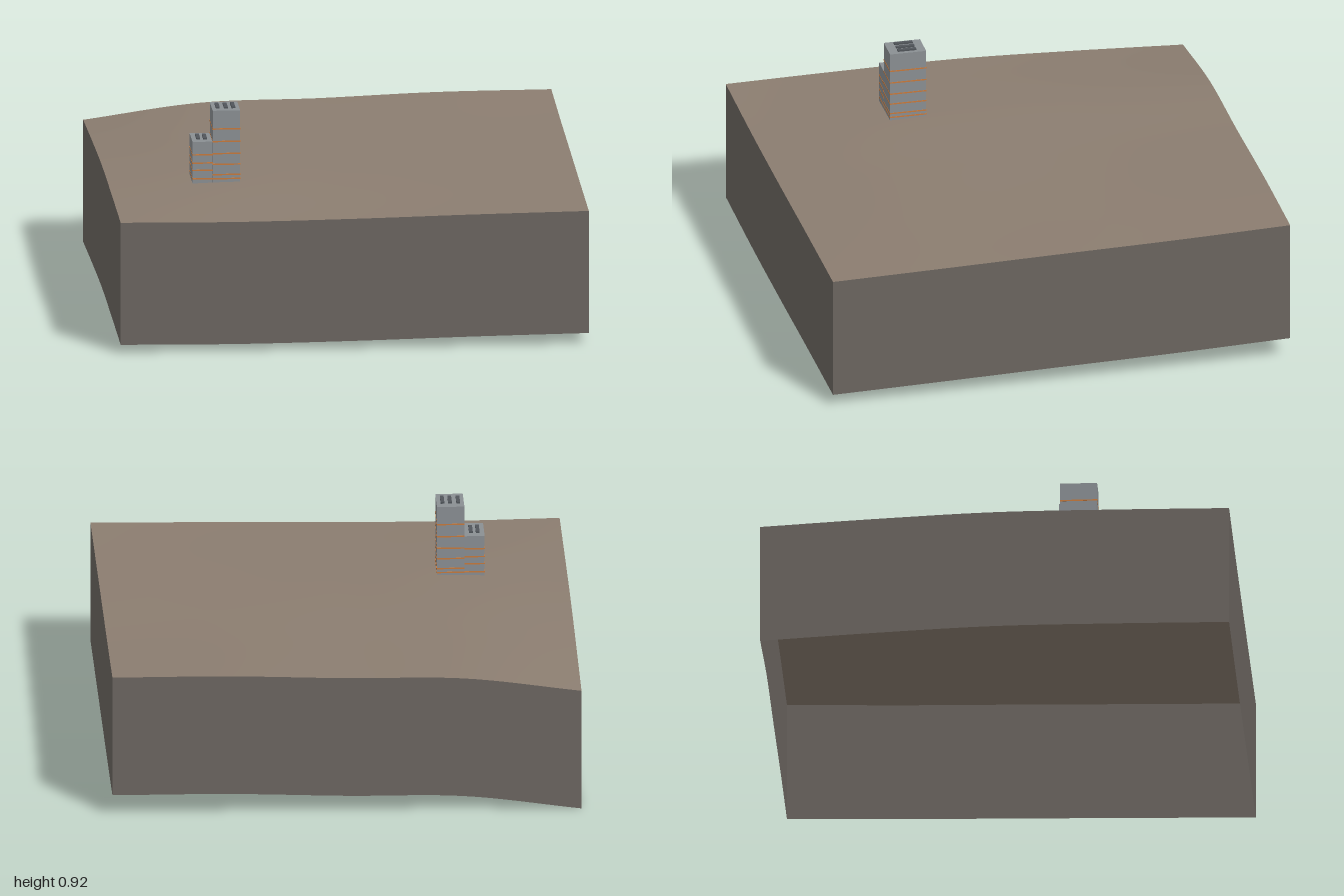
import * as THREE from 'three';

// Ground heights on a 5 x 5 control grid: rows run back to front, columns run -x to +x
const HEIGHTS = [
  [0.535, 0.600, 0.610, 0.627, 0.630],
  [0.560, 0.600, 0.605, 0.612, 0.615],
  [0.578, 0.603, 0.603, 0.602, 0.605],
  [0.577, 0.594, 0.592, 0.592, 0.594],
  [0.571, 0.565, 0.569, 0.578, 0.584],
];
const DEPTH = 0.535;
const SEGMENTS = 40;

// Smooth interpolation through five evenly spaced values, t from -1 to 1
function spline(v, t) {
  const s = THREE.MathUtils.clamp((t + 1) * 2, 0, 4);
  const i = Math.min(3, Math.floor(s));
  const f = s - i;
  const a = i > 0 ? v[i - 1] : 2 * v[0] - v[1];
  const b = v[i];
  const c = v[i + 1];
  const d = i < 3 ? v[i + 2] : 2 * v[4] - v[3];
  return b + 0.5 * f * (c - a + f * (2 * a - 5 * b + 4 * c - d + f * (3 * (b - c) + d - a)));
}

const groundHeight = (x, z) => spline(HEIGHTS.map((row) => spline(row, x)), z);

export function createModel() {
  const model = new THREE.Group();
  model.name = 'terrainBlockWithTower';

  const material = (name, color, side = THREE.FrontSide) => {
    const m = new THREE.MeshStandardMaterial({ color, side });
    m.name = name;
    return m;
  };
  const earth = material('earthBrown', 0x8b7d70, THREE.DoubleSide);
  const soil = material('soilGrey', 0x6b6560, THREE.DoubleSide);
  const concrete = material('concreteGrey', 0x8a8f93);
  const orange = material('floorBandOrange', 0xc87a3c);
  const dark = material('roofUnitGrey', 0x50555a);

  const add = (parent, name, geometry, mat) => {
    const mesh = new THREE.Mesh(geometry, mat);
    mesh.name = name;
    parent.add(mesh);
    return mesh;
  };
  const addBox = (parent, name, size, pos, mat) =>
    add(parent, name, new THREE.BoxGeometry(...size), mat).position.set(...pos);

  // Gently rolling ground surface
  const ground = new THREE.PlaneGeometry(2, 2, SEGMENTS, SEGMENTS).rotateX(-Math.PI / 2);
  const gp = ground.attributes.position;
  for (let i = 0; i < gp.count; i++) gp.setY(i, groundHeight(gp.getX(i), gp.getZ(i)));
  ground.computeVertexNormals();
  add(model, 'groundSurface', ground, earth);

  // Four skirt walls of constant depth that follow the ground edge, open below
  ['front', 'left', 'back', 'right'].forEach((side, k) => {
    const wall = new THREE.PlaneGeometry(2, 2, SEGMENTS, 1);
    wall.translate(0, 0, 1).rotateY(k * Math.PI / 2);
    const p = wall.attributes.position;
    for (let i = 0; i < p.count; i++) {
      p.setY(i, groundHeight(p.getX(i), p.getZ(i)) - (p.getY(i) < 0 ? DEPTH : 0));
    }
    add(model, side + 'SkirtWall', wall, soil);
  });

  // Stepped building: one tall and one short block with floor bands and roof units
  const base = 0.592;
  const z = 0.333;
  const blocks = [
    { name: 'tallBlock', x: -0.501, w: 0.117, top: 0.91, bands: [0.612, 0.63, 0.675, 0.722, 0.775, 0.83], units: [-0.034, 0.001, 0.033] },
    { name: 'shortBlock', x: -0.603, w: 0.086, top: 0.775, bands: [0.613, 0.65, 0.682, 0.718], units: [-0.015, 0.014] },
  ];
  for (const { name, x, w, top, bands, units } of blocks) {
    const block = new THREE.Group();
    block.name = name;
    model.add(block);
    addBox(block, 'walls', [w, top - base, 0.158], [x, (top + base) / 2, z], concrete);
    for (const y of bands) {
      addBox(block, 'floorBand', [w + 0.002, 0.006, 0.16], [x, y, z], orange);
    }
    for (const dx of units) {
      addBox(block, 'roofUnit', [0.016, 0.008, 0.08], [x + dx, top + 0.003, z], dark);
    }
  }

  return model;
}
